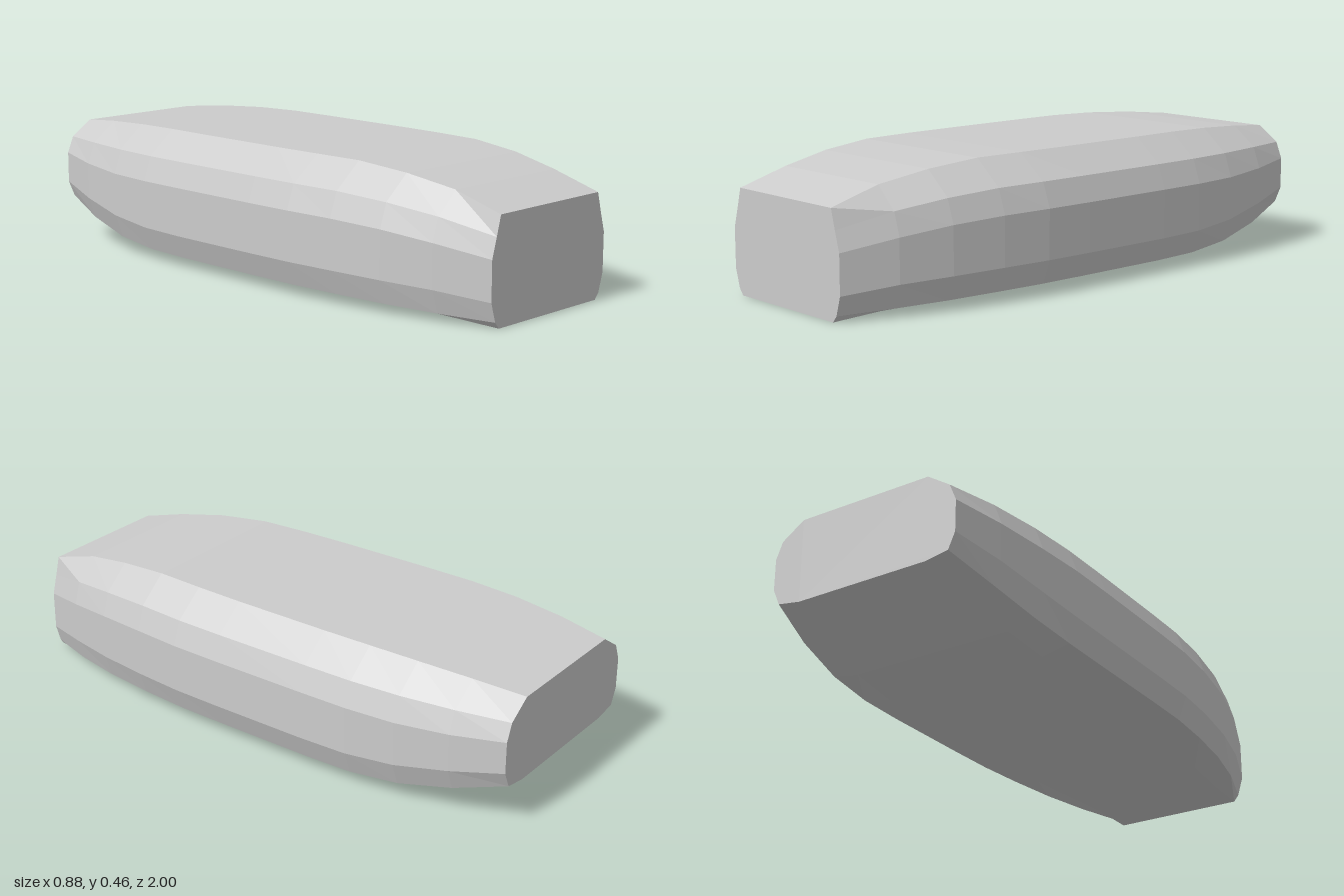
import * as THREE from 'three';

// Stations front to back: z, then heights of the six side edges (bottom to top),
// then half widths: bottom edge, widest side, top edge
const STATIONS = [
  [1.00, 0.000, 0.022, 0.087, 0.222, 0.290, 0.357, 0.245, 0.283, 0.245],
  [0.82, 0.007, 0.029, 0.108, 0.256, 0.335, 0.409, 0.250, 0.350, 0.247],
  [0.64, 0.011, 0.033, 0.115, 0.278, 0.360, 0.441, 0.270, 0.394, 0.272],
  [0.45, 0.014, 0.036, 0.119, 0.288, 0.373, 0.459, 0.288, 0.422, 0.290],
  [0.27, 0.015, 0.037, 0.120, 0.290, 0.375, 0.460, 0.300, 0.438, 0.300],
  [0.09, 0.015, 0.037, 0.120, 0.290, 0.375, 0.460, 0.305, 0.441, 0.305],
  [-0.27, 0.015, 0.037, 0.120, 0.290, 0.375, 0.460, 0.307, 0.442, 0.307],
  [-0.45, 0.019, 0.040, 0.123, 0.290, 0.375, 0.460, 0.305, 0.440, 0.305],
  [-0.63, 0.037, 0.056, 0.138, 0.291, 0.375, 0.456, 0.295, 0.427, 0.296],
  [-0.82, 0.080, 0.095, 0.170, 0.300, 0.375, 0.445, 0.274, 0.398, 0.275],
  [-1.00, 0.133, 0.147, 0.203, 0.313, 0.372, 0.427, 0.245, 0.353, 0.246],
];

// Closed ring of one station: up the +x side, down the -x side
function ring([z, y0, y1, y2, y3, y4, y5, bottom, side, top]) {
  const half = [
    [bottom, y0], [side * 0.93, y1], [side, y2],
    [side, y3], [side * 0.93, y4], [top, y5],
  ];
  const mirrored = half.map(([x, y]) => [-x, y]).reverse();
  return [...half, ...mirrored].map(([x, y]) => [x, y, z]);
}

function loft(stations) {
  const rings = stations.map(ring);
  const n = rings[0].length;
  const last = (rings.length - 1) * n;
  const index = [];
  // Skin between neighbouring rings
  for (let i = 0; i < rings.length - 1; i++) {
    for (let j = 0; j < n; j++) {
      const k = (j + 1) % n;
      const a = i * n + j, b = i * n + k;
      index.push(a, a + n, b, b, a + n, b + n);
    }
  }
  // Flat end caps
  for (let j = 1; j < n - 1; j++) {
    index.push(0, j, j + 1);
    index.push(last, last + j + 1, last + j);
  }
  const geometry = new THREE.BufferGeometry();
  geometry.setAttribute('position', new THREE.Float32BufferAttribute(rings.flat(2), 3));
  geometry.setIndex(index);
  const faceted = geometry.toNonIndexed();
  faceted.computeVertexNormals();
  return faceted;
}

export function createModel() {
  const group = new THREE.Group();
  group.name = 'taperedHull';
  const lightGrey = new THREE.MeshStandardMaterial({ color: 0xcccccc });
  lightGrey.name = 'light grey';
  lightGrey.flatShading = true;

  const hull = new THREE.Mesh(loft(STATIONS), lightGrey);
  hull.name = 'hull';
  group.add(hull);
  return group;
}
